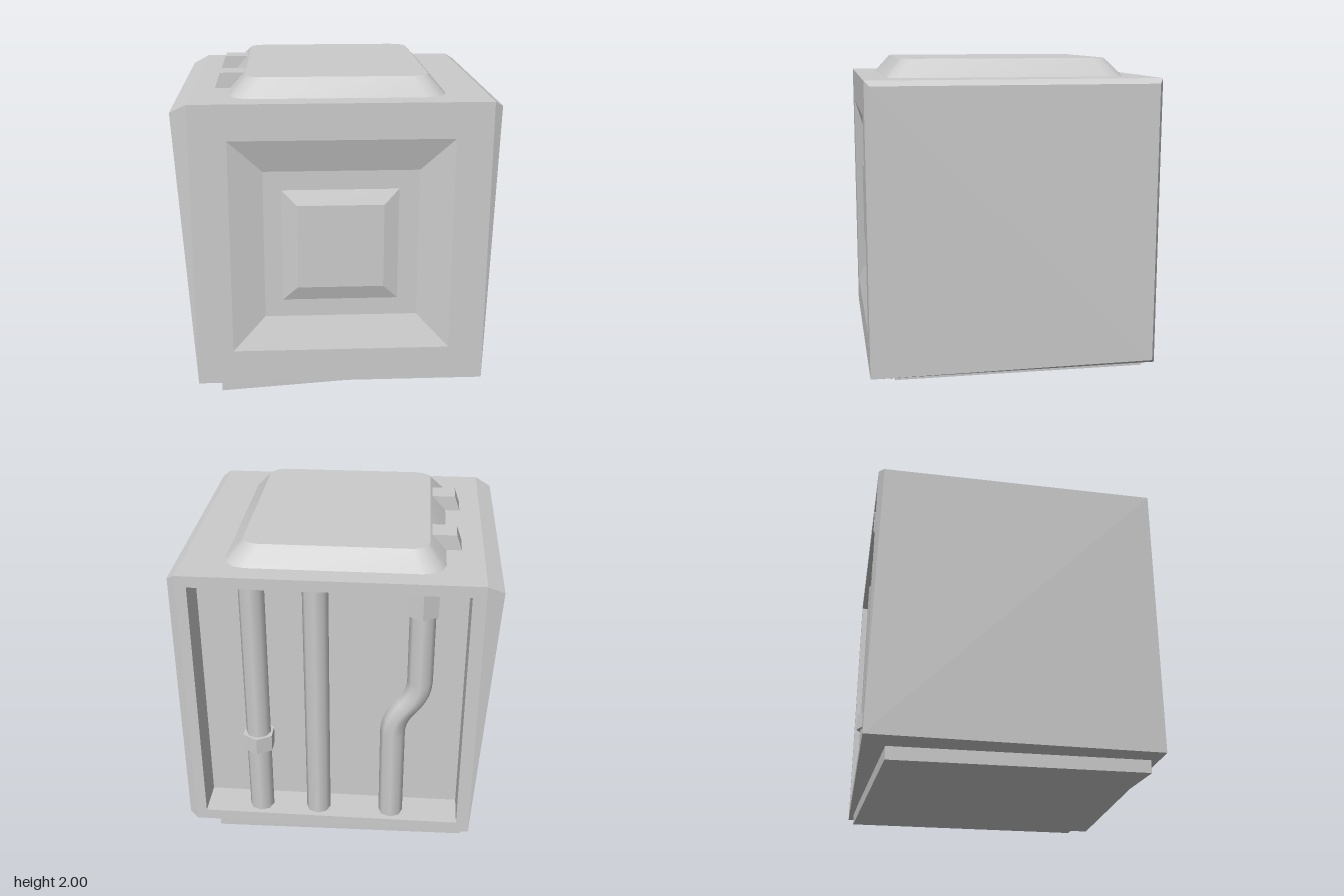
import * as THREE from 'three';
import { toCreasedNormals } from 'three/addons/utils/BufferGeometryUtils.js';

const material = new THREE.MeshStandardMaterial({ color: 0xcccccc });

// Collects flat polygons (corners counter-clockwise from outside)
class Faces {
  constructor() { this.positions = []; }
  poly(...p) {
    for (let i = 1; i < p.length - 1; i++) this.positions.push(...p[0], ...p[i], ...p[i + 1]);
  }
  // Band of quads between two loops with the same number of points
  ring(a, b) {
    a.forEach((p, i) => {
      const j = (i + 1) % a.length;
      this.poly(p, a[j], b[j], b[i]);
    });
  }
  // Chain of loops closed by the last one
  steps(loops) {
    for (let i = 0; i < loops.length - 1; i++) this.ring(loops[i], loops[i + 1]);
    this.poly(...loops[loops.length - 1]);
  }
  geometry() {
    const g = new THREE.BufferGeometry();
    g.setAttribute('position', new THREE.Float32BufferAttribute(this.positions, 3));
    g.computeVertexNormals();
    return g;
  }
}

const rect = (x0, x1, y0, y1, z) => [[x0, y0, z], [x1, y0, z], [x1, y1, z], [x0, y1, z]];

// Rounded rectangle lying at height y, counter-clockwise from above
function roundedLoop(x0, x1, z0, z1, r, y, segments = 3) {
  const centres = [[x1 - r, z0 + r], [x0 + r, z0 + r], [x0 + r, z1 - r], [x1 - r, z1 - r]];
  return centres.flatMap(([cx, cz], k) => Array.from({ length: segments + 1 }, (_, i) => {
    const t = (k + i / segments) * Math.PI / 2;
    return [cx + r * Math.cos(t), y, cz - r * Math.sin(t)];
  }));
}

function bodyGeometry() {
  const f = new Faces();
  const Z = 0.88, z = 0.85;
  // Front and back outlines
  const [D, C, B, A] = rect(-0.86, 0.905, 0.13, 1.89, Z);
  const [C2, D2, A2, B2] = rect(0.905, -0.86, 0.13, 1.89, -Z);
  // Bevelled side corners
  const L = [-0.96, 1.84, z], L2 = [-0.96, 1.84, -z];
  const R = [0.955, 1.86, z], R2 = [0.955, 1.86, -z], low = [0.955, 0.16, -z];

  // Front: sunken panel with a raised middle
  f.steps([
    [D, C, B, A],
    rect(-0.64, 0.69, 0.345, 1.675, Z),
    rect(-0.44, 0.49, 0.55, 1.475, Z - 0.06),
    rect(-0.33, 0.37, 0.66, 1.36, Z - 0.06),
    rect(-0.24, 0.28, 0.75, 1.27, Z - 0.03),
  ]);
  // Back: open compartment
  f.steps([
    [C2, D2, A2, B2],
    rect(0.84, -0.78, 0.2, 1.82, -Z),
    rect(0.84, -0.78, 0.2, 1.82, -0.65),
  ]);
  // Top and bottom
  f.poly(A, B, B2, A2);
  f.poly(B, R, R2, B2);
  f.poly(A, A2, L2, L);
  f.poly(D, D2, C2, C);
  // Left side with its bevels
  f.poly(R, C, low, R2);
  f.poly(B, C, R);
  f.poly(C, C2, low);
  f.poly(R2, low, C2, B2);
  // Leaning right side with its bevels
  f.poly(L, L2, D2, D);
  f.poly(A, L, D);
  f.poly(A2, D2, L2);
  return f.geometry();
}

function lidGeometry() {
  const f = new Faces();
  f.steps([
    roundedLoop(-0.64, 0.665, -0.75, 0.74, 0.135, 1.885),
    roundedLoop(-0.535, 0.56, -0.645, 0.64, 0.1, 2),
  ]);
  return toCreasedNormals(f.geometry(), 0.6);
}

// Crooked plate under the body
function baseGeometry() {
  const f = new Faces();
  const bottom = [[-0.72, 0.05, 0.83], [0.86, 0.1, 0.73], [0.76, 0.06, -0.85], [-0.82, 0, -0.75]];
  const top = bottom.map(([x, y, z]) => [x, y + 0.08, z]);
  f.steps([bottom, top]);
  f.poly(...[...bottom].reverse());
  return f.geometry();
}

function hingeGeometry() {
  const s = new THREE.Shape([[-0.54, 1.885], [-0.54, 1.985], [-0.695, 1.985], [-0.73, 1.885]]
    .map(([x, y]) => new THREE.Vector2(x, y)));
  return new THREE.ExtrudeGeometry(s, { depth: 0.162, bevelEnabled: false });
}

export function createModel() {
  const group = new THREE.Group();
  const add = (name, geometry, x = 0, y = 0, z = 0) => {
    const mesh = new THREE.Mesh(geometry, material);
    mesh.name = name;
    mesh.position.set(x, y, z);
    group.add(mesh);
    return mesh;
  };

  add('body', bodyGeometry());
  add('topLid', lidGeometry());
  add('basePlate', baseGeometry());
  for (const z of [-0.398, 0.235]) add('lidHinge', hingeGeometry(), 0, 0, z);

  // Straight pipes in the back compartment
  const pipeZ = -0.775, r = 0.077;
  for (const x of [0.487, 0.115]) {
    add('straightPipe', new THREE.CylinderGeometry(r, r, 1.62, 8, 1, true), x, 1.01, pipeZ);
  }

  // Bent pipe
  const path = new THREE.CurvePath();
  const v = (x, y) => new THREE.Vector3(x, y, pipeZ);
  path.add(new THREE.LineCurve3(v(-0.51, 1.82), v(-0.51, 1.2)));
  path.add(new THREE.QuadraticBezierCurve3(v(-0.51, 1.2), v(-0.51, 1.1), v(-0.432, 1.01)));
  path.add(new THREE.QuadraticBezierCurve3(v(-0.432, 1.01), v(-0.354, 0.92), v(-0.354, 0.82)));
  path.add(new THREE.LineCurve3(v(-0.354, 0.82), v(-0.354, 0.2)));
  add('bentPipe', new THREE.TubeGeometry(path, 40, r, 8));

  // Six-sided collars
  const collar = (radius, height) =>
    new THREE.CylinderGeometry(radius, radius, height, 6).toNonIndexed();
  for (const [name, x, y, h] of [['pipeRing', 0.487, 0.72, 0.11], ['pipeCollar', -0.51, 1.74, 0.16]]) {
    const g = collar(0.103, h);
    g.computeVertexNormals();
    add(name, g, x, y, pipeZ);
  }
  return group;
}
